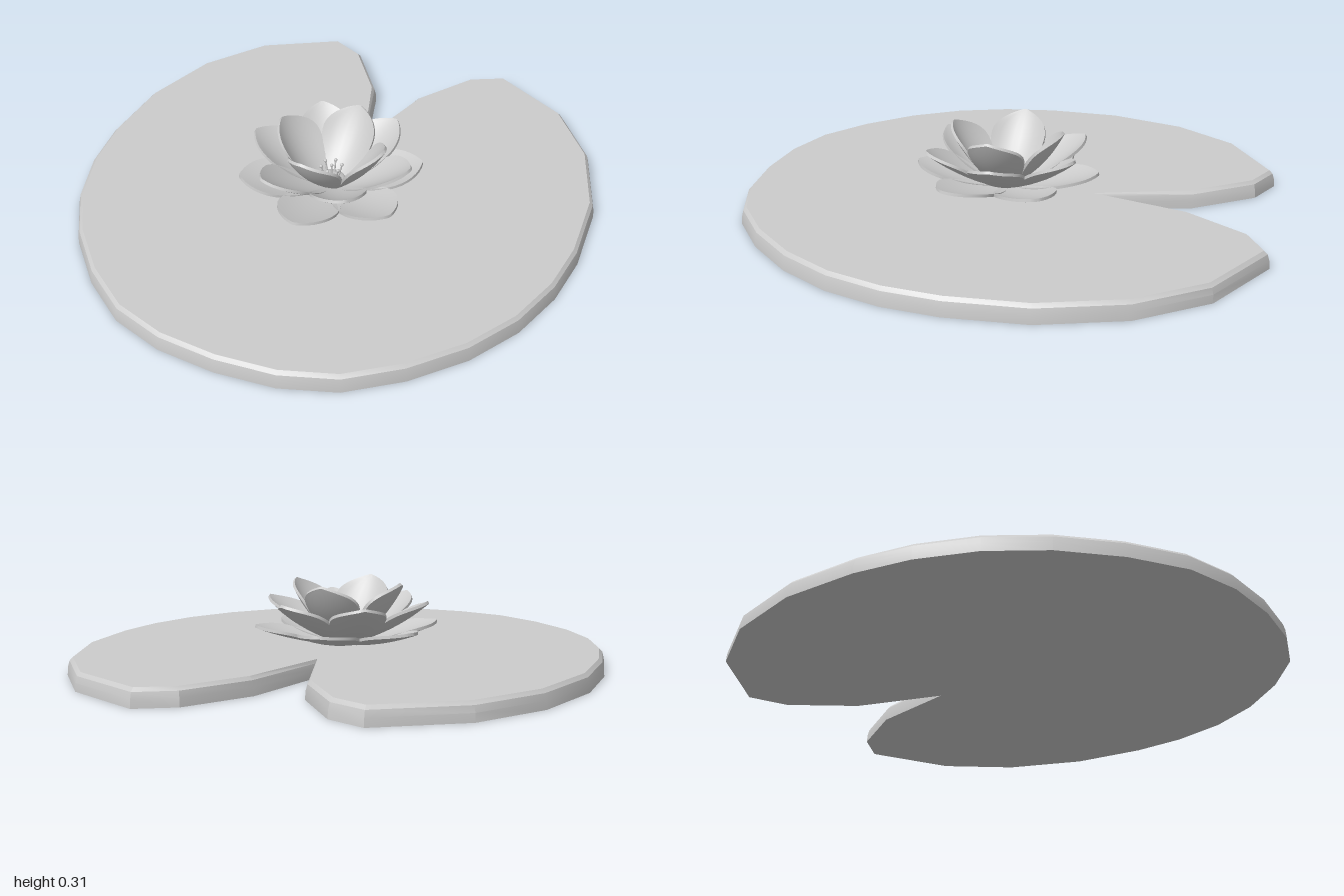
import * as THREE from 'three';
import { toCreasedNormals } from 'three/addons/utils/BufferGeometryUtils.js';

const material = new THREE.MeshStandardMaterial({ color: 0xcccccc });

function addMesh(parent, name, geometry) {
  const mesh = new THREE.Mesh(geometry, material);
  mesh.name = name;
  parent.add(mesh);
  return mesh;
}

// Move every corner of a closed (x, z) outline inwards by a distance
function inset(points, distance) {
  const n = points.length;
  const inward = (a, b) => new THREE.Vector2(a.y - b.y, b.x - a.x).normalize();
  return points.map((p, i) => {
    const n1 = inward(points[(i + n - 1) % n], p);
    const n2 = inward(p, points[(i + 1) % n]);
    const k = distance / Math.max(1 + n1.dot(n2), 0.4);
    return p.clone().addScaledVector(n1.add(n2), k);
  });
}

// Notched leaf: a stack of inset outlines, capped on both ends
function padGeometry() {
  const half = [
    [0.09, -0.70], [0.25, -0.93], [0.39, -1.0], [0.69, -0.83], [0.865, -0.59],
    [0.96, -0.29], [0.972, 0], [0.945, 0.21], [0.875, 0.42], [0.76, 0.61],
    [0.60, 0.78], [0.42, 0.91], [0.22, 0.975],
  ];
  const outline = [[0, -0.36], ...half, [0, 0.993], ...half.map(([x, z]) => [-x, z]).reverse()]
    .map(([x, z]) => new THREE.Vector2(x, z));
  const layers = [[0, 0], [0.03, 0.002], [0.053, 0.008], [0.066, 0.02]];
  const loops = layers.map(([y, d]) => inset(outline, d).map((p) => new THREE.Vector3(p.x, y, p.y)));
  const pos = [];
  const tri = (...corners) => corners.forEach((v) => pos.push(v.x, v.y, v.z));

  // Side walls
  const n = outline.length;
  for (let k = 0; k < loops.length - 1; k++) {
    for (let i = 0; i < n; i++) {
      const j = (i + 1) % n;
      const [low, high] = [loops[k], loops[k + 1]];
      tri(low[i], high[i], high[j]);
      tri(low[i], high[j], low[j]);
    }
  }
  // Bottom and top caps
  const faces = THREE.ShapeUtils.triangulateShape(outline.map((p) => p.clone()), []);
  for (const [loop, up] of [[loops[0], false], [loops[loops.length - 1], true]]) {
    for (const face of faces) {
      const [a, b, c] = face.map((i) => loop[i]);
      const facesUp = (b.z - a.z) * (c.x - a.x) - (b.x - a.x) * (c.z - a.z) > 0;
      if (facesUp === up) tri(a, b, c);
      else tri(a, c, b);
    }
  }
  const geometry = new THREE.BufferGeometry();
  geometry.setAttribute('position', new THREE.Float32BufferAttribute(pos, 3));
  return toCreasedNormals(geometry, 0.45);
}

// Cupped petal: a thin slab reshaped so that it grows along +z from its base
function petalGeometry({ length, width, cup, curl, tilt, baseY }) {
  const thickness = 0.011;
  const geometry = new THREE.BoxGeometry(2, 1, 1, 8, 1, 14);
  const p = geometry.attributes.position;
  for (let i = 0; i < p.count; i++) {
    const s = p.getX(i);
    const t = 1 - Math.pow(0.5 - p.getZ(i), 1.4);
    const u = Math.max(0, (t - 0.6) / 0.4);
    const spread = t < 0.6
      ? 0.28 + 0.72 * Math.sin((Math.PI / 2) * (t / 0.6))
      : Math.max(0.04, Math.pow(1 - u * u, 0.75));
    const w = spread * width;
    const bend = curl * (t * t - t) + cup * s * s * spread * spread;
    p.setXYZ(i, s * w, bend + p.getY(i) * thickness, t * length);
  }
  geometry.rotateX(-tilt);
  geometry.translate(0, baseY, 0.03);
  return toCreasedNormals(geometry, 0.7);
}

export function createModel() {
  const model = new THREE.Group();
  model.name = 'waterLily';
  addMesh(model, 'lilyPad', padGeometry());

  const flower = new THREE.Group();
  flower.name = 'flower';
  model.add(flower);

  // Petal rings, from the flat outer one to the steep inner one
  const rings = [
    { name: 'outerPetal', count: 6, turn: 0, length: 0.33, width: 0.115, cup: 0.02, curl: 0.05, tilt: 0.22, baseY: 0.073 },
    { name: 'middlePetal', count: 6, turn: Math.PI / 6, length: 0.33, width: 0.105, cup: 0.03, curl: 0.07, tilt: 0.51, baseY: 0.078 },
    { name: 'innerPetal', count: 4, turn: -0.12, length: 0.292, width: 0.108, cup: 0.04, curl: 0.08, tilt: 0.86, baseY: 0.085 },
  ];
  for (const ring of rings) {
    const geometry = petalGeometry(ring);
    for (let i = 0; i < ring.count; i++) {
      addMesh(flower, ring.name, geometry).rotation.y = ring.turn + (i * 2 * Math.PI) / ring.count;
    }
  }

  // Domed flower centre
  const profile = [[0.03, 0.066], [0.05, 0.08], [0.057, 0.098], [0.045, 0.11], [0.02, 0.116], [0, 0.117]];
  addMesh(flower, 'flowerCentre', new THREE.LatheGeometry(profile.map(([x, y]) => new THREE.Vector2(x, y)), 20));

  // Stamens: one upright, the others leaning outwards around it
  const stalk = new THREE.CylinderGeometry(0.003, 0.004, 0.055, 6).translate(0, 0.0275, 0);
  const tip = new THREE.SphereGeometry(0.007, 8, 6).translate(0, 0.056, 0);
  for (let i = 0; i < 7; i++) {
    const angle = (i * Math.PI) / 3;
    const radius = i === 6 ? 0 : 0.026;
    const stamen = new THREE.Group();
    stamen.name = 'stamen';
    stamen.position.set(Math.sin(angle) * radius, 0.106, Math.cos(angle) * radius);
    stamen.rotation.set(i === 6 ? 0 : 0.25, angle, 0, 'YXZ');
    addMesh(stamen, 'stamenStalk', stalk);
    addMesh(stamen, 'stamenTip', tip);
    flower.add(stamen);
  }
  return model;
}
